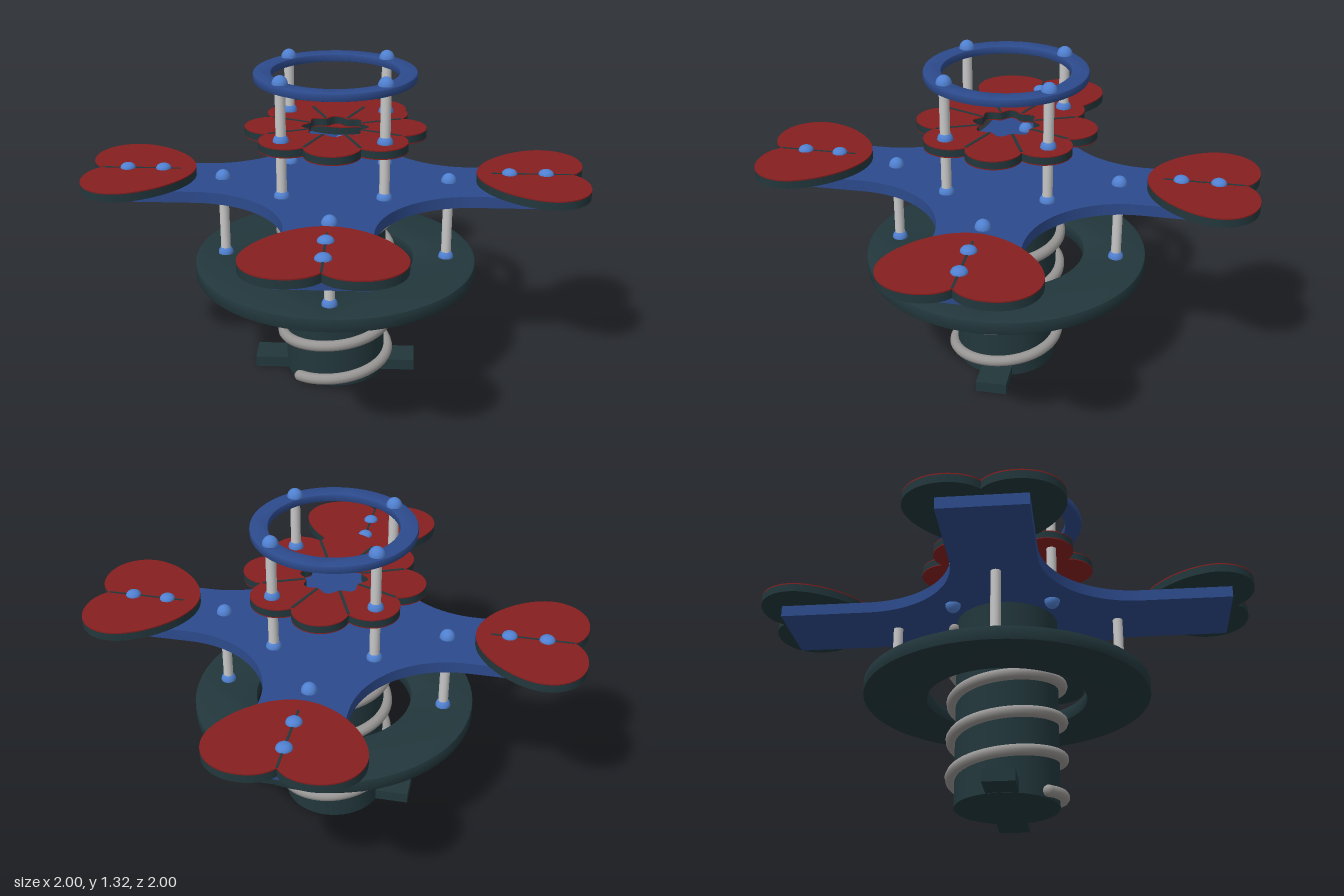
import * as THREE from 'three';
import { toCreasedNormals } from 'three/addons/utils/BufferGeometryUtils.js';

const mat = (name, color) => {
  const m = new THREE.MeshStandardMaterial({ color });
  m.name = name;
  return m;
};

export function createModel() {
  const blue = mat('panel blue', 0x2c4a8c);
  const boltBlue = mat('bolt blue', 0x5080d0);
  const red = mat('petal red', 0x861f1f);
  const green = mat('dark green', 0x22373c);
  const steel = mat('post steel', 0xc6c6c6);
  const springGrey = mat('spring grey', 0x989694);

  const model = new THREE.Group();
  model.name = 'springRocker';

  const add = (parent, name, geometry, material, x = 0, y = 0, z = 0) => {
    const mesh = new THREE.Mesh(geometry, material);
    mesh.name = name;
    mesh.position.set(x, y, z);
    parent.add(mesh);
    return mesh;
  };
  // Horizontal plate whose underside rests at y = 0
  const plate = (shape, height, bevel = 0) => {
    const g = new THREE.ExtrudeGeometry(shape, {
      depth: height - 2 * bevel, curveSegments: 32, bevelEnabled: bevel > 0,
      bevelThickness: bevel, bevelSize: bevel, bevelOffset: -bevel, bevelSegments: 2,
    });
    g.translate(0, 0, bevel);
    g.rotateX(-Math.PI / 2);
    return toCreasedNormals(g, 0.6);
  };
  const ringShape = (outer, inner) => {
    const s = new THREE.Shape().absarc(0, 0, outer, 0, Math.PI * 2);
    s.holes.push(new THREE.Path().absarc(0, 0, inner, 0, Math.PI * 2, true));
    return s;
  };
  const domeGeo = new THREE.SphereGeometry(0.031, 20, 8, 0, Math.PI * 2, 0, Math.PI / 2);
  const bolt = (parent, x, y, z, squash = 1.1) => {
    const b = add(parent, 'bolt', domeGeo, boltBlue, x, y, z);
    b.scale.y = Math.abs(squash);
    if (squash < 0) b.rotation.x = Math.PI;
  };
  const post = (parent, x, z, y0, y1) =>
    add(parent, 'post', new THREE.CylinderGeometry(0.02, 0.02, y1 - y0, 16), steel, x, (y0 + y1) / 2, z);

  // Base bar and central column
  add(model, 'baseBar', new THREE.BoxGeometry(0.67, 0.046, 0.125), green, 0, 0.024, 0);
  add(model, 'column', new THREE.CylinderGeometry(0.206, 0.206, 0.79, 48), green, 0, 0.395, 0);

  // Coil spring wound around the column
  const coil = [];
  const t0 = -0.11, t1 = 4.55, steps = 150;
  for (let i = 0; i <= steps; i++) {
    const t = t0 + (t1 - t0) * i / steps, a = t * Math.PI * 2;
    coil.push(new THREE.Vector3(0.22 * Math.sin(a), 0.04 + 0.155 * t, 0.22 * Math.cos(a)));
  }
  add(model, 'spring', new THREE.TubeGeometry(new THREE.CatmullRomCurve3(coil), 320, 0.023, 10), springGrey);
  for (const p of [coil[0], coil[steps]])
    add(model, 'springEnd', new THREE.SphereGeometry(0.023, 10, 8), springGrey, p.x, p.y, p.z);

  // Foot ring
  add(model, 'footRing', plate(ringShape(0.575, 0.32), 0.056, 0.006), green, 0, 0.448, 0);

  // Cross-shaped platform with concave corners
  const cross = new THREE.Shape();
  const w = 0.165, end = 0.91, c = 0.55;
  for (let k = 0; k < 4; k++) {
    const a = k * Math.PI / 2, cs = Math.cos(a), sn = Math.sin(a);
    const at = (x, y) => [x * cs - y * sn, x * sn + y * cs];
    if (k === 0) cross.moveTo(...at(end, -w));
    else cross.lineTo(...at(end, -w));
    cross.lineTo(...at(end, w));
    cross.lineTo(...at(c, w));
    cross.absarc(...at(c, c), c - w, a - Math.PI / 2, a - Math.PI, true);
  }
  cross.closePath();
  add(model, 'platform', plate(cross, 0.046), blue, 0, 0.79, 0);

  // Heart-shaped seats, with lower posts, one per arm
  const heart = new THREE.Shape();
  heart.moveTo(0, 0.945);
  heart.bezierCurveTo(0.025, 0.98, 0.07, 1.0, 0.125, 1.0);
  heart.bezierCurveTo(0.22, 1.0, 0.29, 0.935, 0.29, 0.845);
  heart.bezierCurveTo(0.29, 0.735, 0.15, 0.565, 0, 0.565);
  heart.bezierCurveTo(-0.15, 0.565, -0.29, 0.735, -0.29, 0.845);
  heart.bezierCurveTo(-0.29, 0.935, -0.22, 1.0, -0.125, 1.0);
  heart.bezierCurveTo(-0.07, 1.0, -0.025, 0.98, 0, 0.945);
  const heartBody = plate(heart, 0.032), heartTop = plate(heart, 0.005);
  for (let k = 0; k < 4; k++) {
    const arm = new THREE.Group();
    arm.name = 'arm';
    arm.rotation.y = k * Math.PI / 2;
    model.add(arm);
    add(arm, 'seat', heartBody, green, 0, 0.836, 0);
    add(arm, 'seatTop', heartTop, red, 0, 0.868, 0);
    add(arm, 'seatGroove', new THREE.BoxGeometry(0.009, 0.003, 0.32), green, 0, 0.873, -0.785);
    bolt(arm, 0, 0.872, -0.695, 0.7);
    bolt(arm, 0, 0.872, -0.84, 0.7);
    post(arm, 0, -0.455, 0.5, 0.8);
    bolt(arm, 0, 0.504, -0.455);
    bolt(arm, 0, 0.836, -0.455);
  }

  // Eight-petal flower table with a scalloped hole
  const flower = new THREE.Shape(), hole = new THREE.Path();
  const pc = 0.25, pr = 0.11, n = 128;
  for (let i = 0; i < n; i++) {
    const a = i / n * Math.PI * 2;
    const d = a - Math.round(a / (Math.PI / 4)) * Math.PI / 4;
    const r = pc * Math.cos(d) + Math.sqrt(pr * pr - (pc * Math.sin(d)) ** 2);
    const h = 0.122 + 0.012 * Math.cos(8 * a);
    flower[i ? 'lineTo' : 'moveTo'](r * Math.cos(a), r * Math.sin(a));
    hole[i ? 'lineTo' : 'moveTo'](h * Math.cos(a), -h * Math.sin(a));
  }
  flower.closePath();
  hole.closePath();
  flower.holes.push(hole);
  add(model, 'flowerTable', plate(flower, 0.028), green, 0, 1.029, 0);
  const petalFace = plate(flower, 0.004);
  add(model, 'flowerTop', petalFace, red, 0, 1.057, 0);
  add(model, 'flowerUnderside', petalFace, red, 0, 1.025, 0);
  for (let k = 0; k < 8; k++) {
    const a = (k + 0.5) * Math.PI / 4;
    const g = add(model, 'petalGroove', new THREE.BoxGeometry(0.165, 0.003, 0.011), green,
      0.197 * Math.cos(a), 1.0615, -0.197 * Math.sin(a));
    g.rotation.y = a;
  }

  // Top ring and the four tall posts carrying it
  add(model, 'topRing', plate(ringShape(0.32, 0.25), 0.032, 0.006), blue, 0, 1.255, 0);
  for (const x of [-0.198, 0.198]) for (const z of [-0.198, 0.198]) {
    post(model, x, z, 0.8, 1.27);
    bolt(model, x, 0.79, z, -1.1);
    bolt(model, x, 0.836, z, 1);
    bolt(model, x, 1.06, z);
    bolt(model, x, 1.286, z);
  }
  return model;
}
